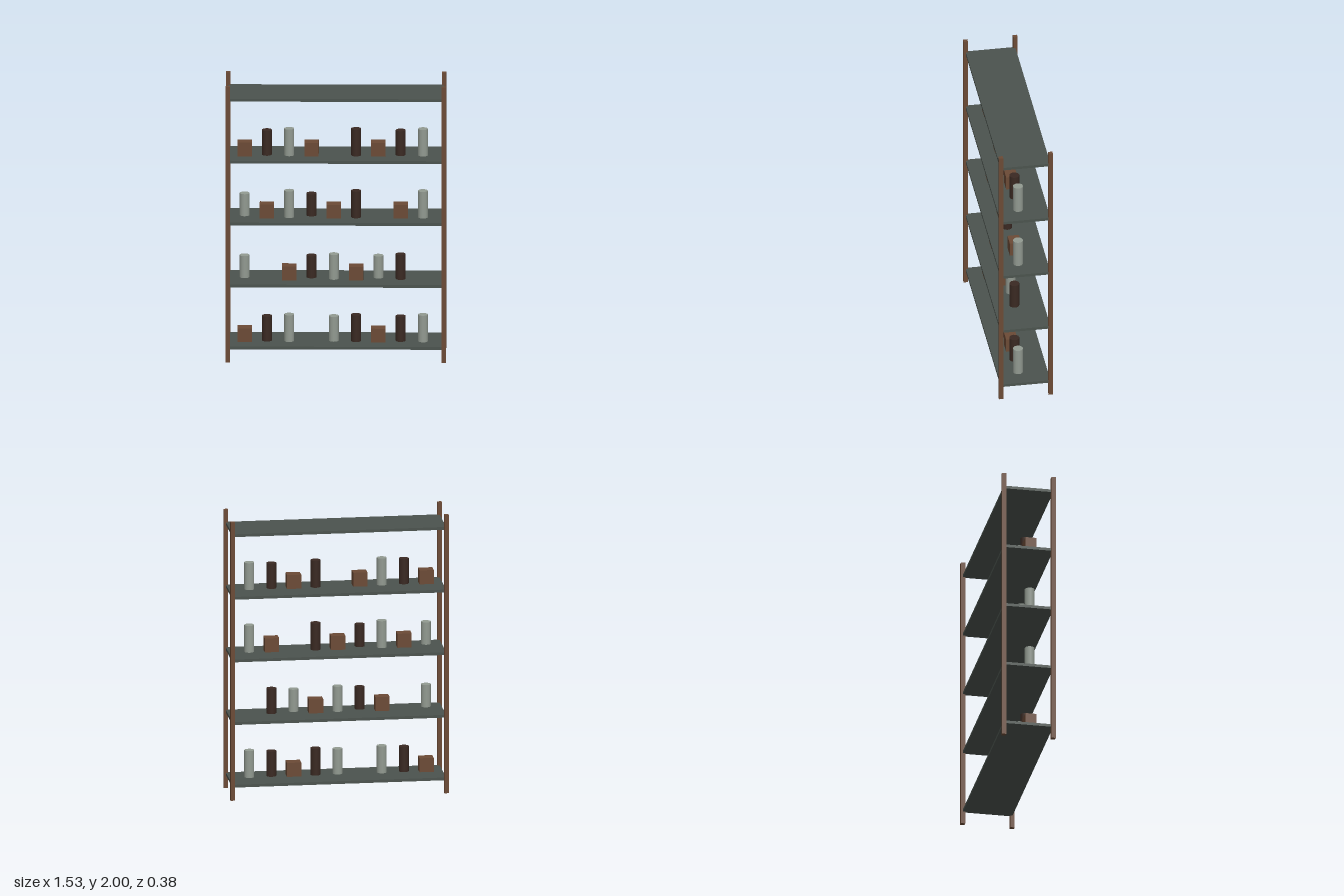
import * as THREE from 'three';

export function createModel() {
  const root = new THREE.Group();
  root.name = 'shelvingUnit';
  const mat = (color) => new THREE.MeshStandardMaterial({ color });
  const wood = mat(0x6b4a35), slate = mat(0x4b534e), dark = mat(0x3a2922), pale = mat(0x929a91);

  const add = (parent, name, geometry, material, x, y, z) => {
    const mesh = new THREE.Mesh(geometry, material);
    mesh.name = name;
    mesh.position.set(x, y, z);
    parent.add(mesh);
  };

  // Four corner posts
  const postGeo = new THREE.BoxGeometry(0.03, 2, 0.03);
  for (const x of [-0.75, 0.75])
    for (const z of [-0.175, 0.175]) add(root, 'post', postGeo, wood, x, 1, z);

  // Five shelves; the lower four carry a row of boxes (B), dark jars (D) and pale jars (L)
  const rows = ['BDL.LDBDL', 'L.BDLBLD.', 'LBLDBD.BL', 'BDLB.DBDL', ''];
  const shelfGeo = new THREE.BoxGeometry(1.5, 0.02, 0.35);
  const boxGeo = new THREE.BoxGeometry(0.1, 0.1, 0.08);
  const jarGeos = [0.16, 0.18, 0.2].map((h) => new THREE.CylinderGeometry(0.035, 0.035, h, 12));

  rows.forEach((row, level) => {
    const y = 0.1 + 0.45 * level;
    add(root, 'shelf', shelfGeo, slate, 0, y, 0);
    const goods = new THREE.Group();
    goods.name = 'shelfGoods';
    [...row].forEach((kind, i) => {
      const x = -0.635 + 0.155 * i;
      if (kind === 'B') add(goods, 'box', boxGeo, wood, x, y + 0.06, 0.03);
      else if (kind !== '.') add(goods, 'jar', jarGeos[i % 3], kind === 'D' ? dark : pale, x, y + 0.103, 0.03);
    });
    if (row) root.add(goods);
  });
  return root;
}
